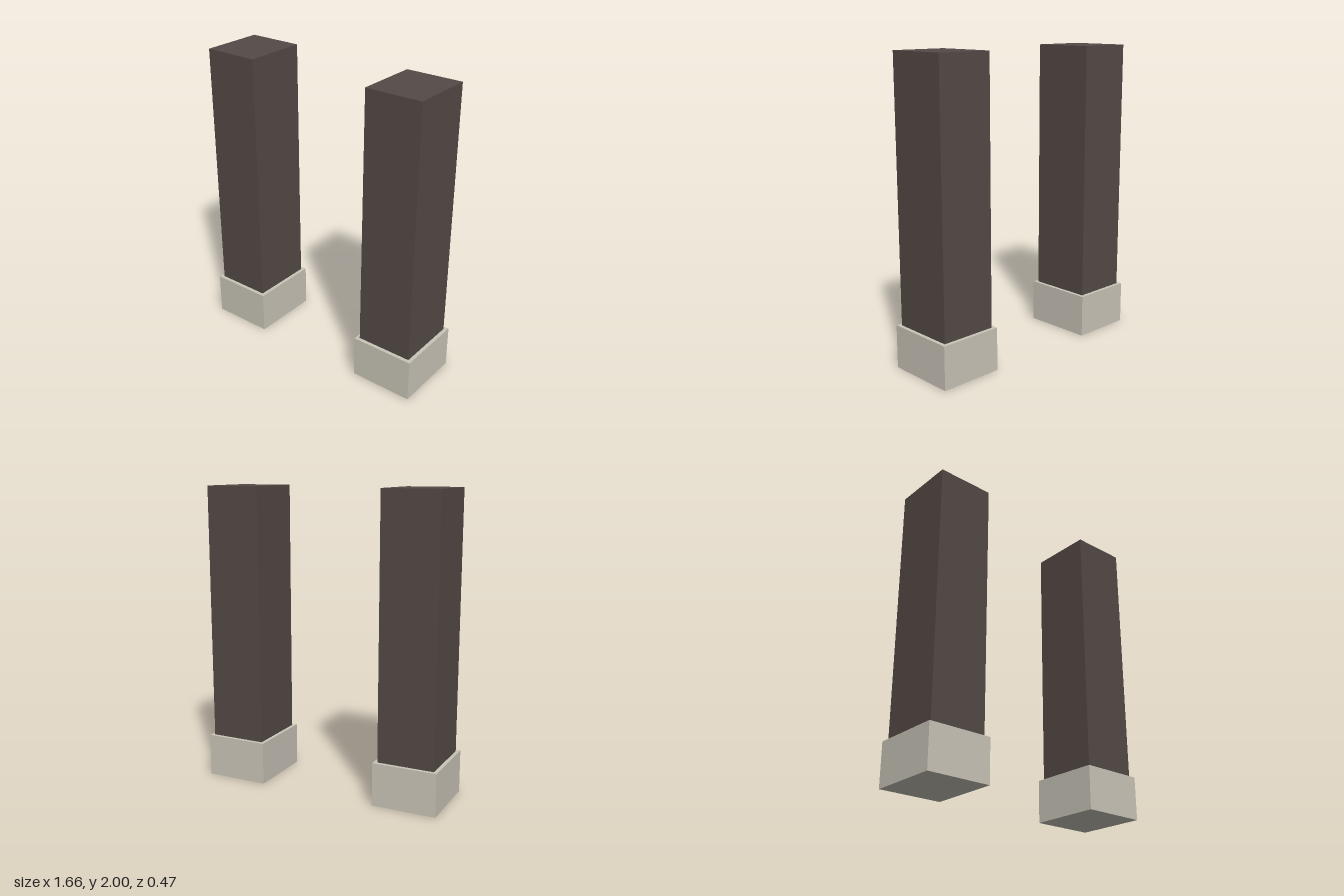
import * as THREE from 'three';

export function createModel() {
  const model = new THREE.Group();
  model.name = 'legPair';

  const trouser = new THREE.MeshStandardMaterial({ color: 0x544a46 });
  trouser.name = 'dark brown';
  const shoe = new THREE.MeshStandardMaterial({ color: 0xcac5b8 });
  shoe.name = 'pale stone';

  const footHeight = 0.286;
  const legHeight = 2 - footHeight;
  const legGeometry = new THREE.BoxGeometry(0.379, legHeight, 0.426);
  const footGeometry = new THREE.BoxGeometry(0.428, footHeight, 0.475);

  // One leg standing on its foot block, repeated on each side
  for (const [side, x] of [['left', 0.618], ['right', -0.618]]) {
    const limb = new THREE.Group();
    limb.name = side + 'Limb';
    limb.position.x = x;

    const leg = new THREE.Mesh(legGeometry, trouser);
    leg.name = side + 'Leg';
    leg.position.y = footHeight + legHeight / 2;

    const foot = new THREE.Mesh(footGeometry, shoe);
    foot.name = side + 'Foot';
    foot.position.y = footHeight / 2;

    limb.add(leg, foot);
    model.add(limb);
  }
  return model;
}
